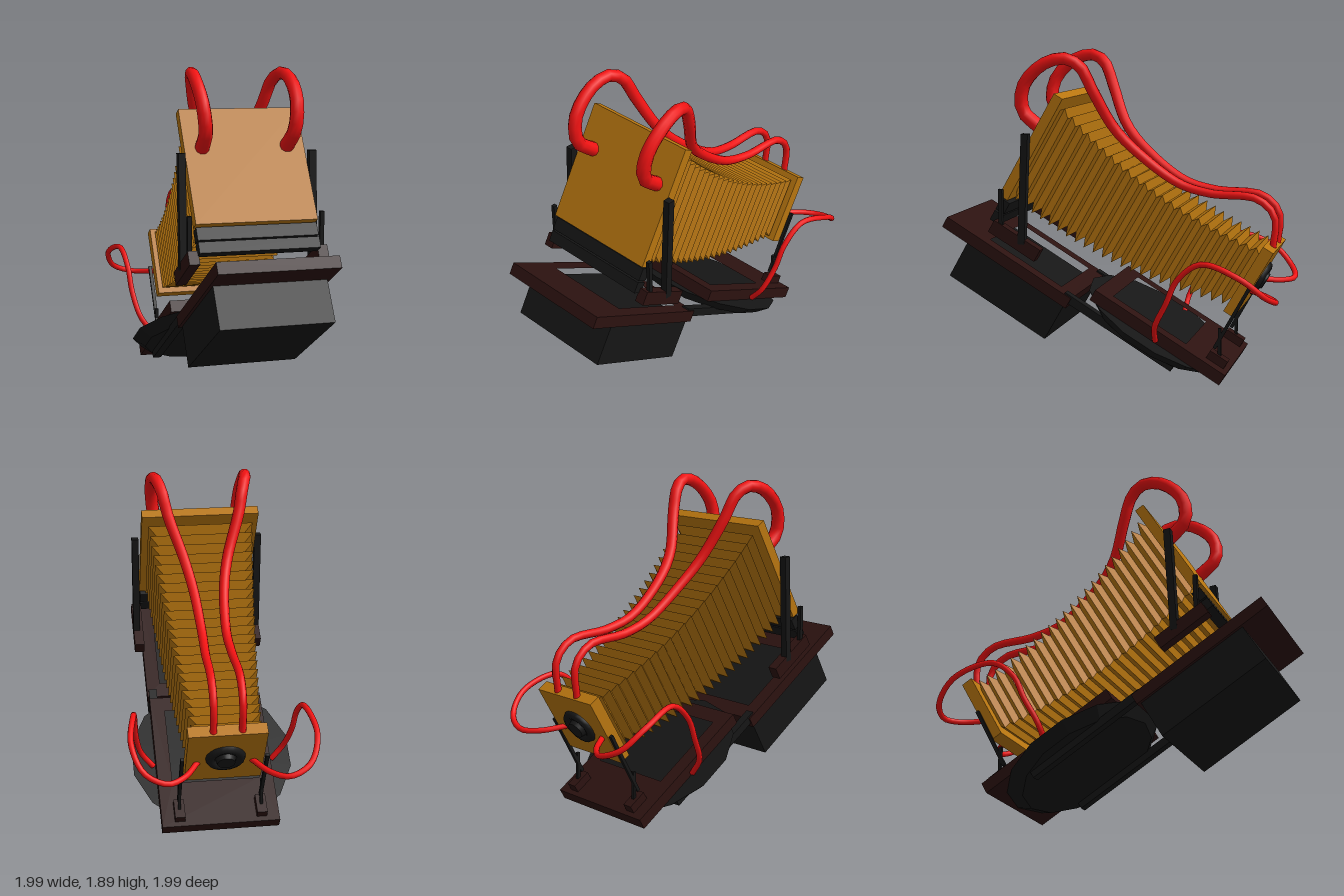
import * as THREE from 'three';

const V = (x, y, z) => new THREE.Vector3(x, y, z);
const mat = (color) => new THREE.MeshStandardMaterial({ color });
const wood = mat(0xb87610);
const darkWood = mat(0x2c1210);
const black = mat(0x161616);
const red = mat(0xf01212);

function add(parent, name, geometry, material) {
  const mesh = new THREE.Mesh(geometry, material);
  mesh.name = name;
  parent.add(mesh);
  return mesh;
}

// Box given by its limits on each axis
function block(parent, name, material, x0, x1, y0, y1, z0, z1) {
  const mesh = add(parent, name, new THREE.BoxGeometry(x1 - x0, y1 - y0, z1 - z0), material);
  mesh.position.set((x0 + x1) / 2, (y0 + y1) / 2, (z0 + z1) / 2);
  return mesh;
}

// Square bar between two points
function strut(parent, name, material, a, b, size) {
  const mesh = add(parent, name, new THREE.BoxGeometry(size, a.distanceTo(b), size), material);
  mesh.position.copy(a).add(b).multiplyScalar(0.5);
  mesh.quaternion.setFromUnitVectors(V(0, 1, 0), b.clone().sub(a).normalize());
}

// Flat bed plate with a rectangular opening
function bedPlate(parent, name, half, y0, y1, z0, z1, hz0, hz1) {
  const rect = (P, w, a, b) => new P([
    new THREE.Vector2(-w, -a), new THREE.Vector2(w, -a), new THREE.Vector2(w, -b), new THREE.Vector2(-w, -b)]);
  const shape = rect(THREE.Shape, half, z0, z1);
  shape.holes.push(rect(THREE.Path, 0.26, hz0, hz1));
  const geo = new THREE.ExtrudeGeometry(shape, { depth: y1 - y0, bevelEnabled: false });
  geo.rotateX(-Math.PI / 2).translate(0, y0, 0);
  add(parent, name, geo, darkWood);
}

// Hose along a smooth curve, its radius running from r0 to r1
function hose(parent, name, points, side, r0, r1) {
  const curve = new THREE.CatmullRomCurve3(points.map(([x, y, z]) => V(x * side, y, z)));
  const segments = 40, sides = 10;
  const geo = new THREE.TubeGeometry(curve, segments, 1, sides);
  const pos = geo.attributes.position;
  for (let i = 0; i <= segments; i++) {
    const centre = curve.getPointAt(i / segments);
    const r = THREE.MathUtils.lerp(r0, r1, i / segments);
    for (let j = 0; j <= sides; j++) {
      const k = i * (sides + 1) + j;
      const p = V().fromBufferAttribute(pos, k).sub(centre).multiplyScalar(r).add(centre);
      pos.setXYZ(k, p.x, p.y, p.z);
    }
  }
  add(parent, name, geo, red);
}

// Square pleated sleeve that widens towards the front and sags in the middle
function bellowsGeometry(z0, z1, folds) {
  const rings = folds * 2;
  const positions = [], index = [];
  for (let i = 0; i <= rings; i++) {
    const t = i / rings;
    const h = THREE.MathUtils.lerp(0.195, 0.32, t) - (i % 2 ? 0 : 0.045);
    const y = 0.91 - 0.085 * 4 * t * (1 - t);
    const z = THREE.MathUtils.lerp(z0, z1, t);
    for (const [a, b] of [[-1, -1], [1, -1], [1, 1], [-1, 1]]) positions.push(a * h, y + b * h, z);
  }
  for (let i = 0; i < rings; i++) {
    for (let j = 0; j < 4; j++) {
      const a = i * 4 + j, b = i * 4 + (j + 1) % 4;
      index.push(a, b, b + 4, a, b + 4, a + 4);
    }
  }
  const geo = new THREE.BufferGeometry();
  geo.setAttribute('position', new THREE.Float32BufferAttribute(positions, 3));
  geo.setIndex(index);
  const flat = geo.toNonIndexed();
  flat.computeVertexNormals();
  return flat;
}

export function createModel() {
  const model = new THREE.Group();
  model.name = 'bellowsCamera';

  // Body turned to the diagonal; the bed assembly is also pitched up towards the front
  const body = new THREE.Group();
  body.name = 'body';
  body.rotation.y = Math.PI / 4;
  model.add(body);
  const bed = new THREE.Group();
  bed.name = 'tiltedAssembly';
  bed.rotation.x = -Math.PI / 6;
  body.add(bed);

  // Bed plates, box and disc underneath
  bedPlate(bed, 'frontBedPlate', 0.345, 0.2, 0.27, 0.45, 1.35, 0.55, 1.07);
  bedPlate(bed, 'rearBedPlate', 0.345, 0.33, 0.4, -0.55, 0.35, -0.26, 0.25);
  block(bed, 'lowerBox', black, -0.325, 0.325, -0.045, 0.2, 0.47, 1.17);
  const discGeo = new THREE.CylinderGeometry(0.49, 0.42, 0.06, 14).toNonIndexed();
  discGeo.computeVertexNormals();
  add(bed, 'underDisc', discGeo, black).position.set(0, 0.3, -0.04);

  // Large front panel, small rear panel and the pleated sleeve between them
  block(bed, 'frontPanel', wood, -0.354, 0.354, 0.57, 1.268, 1.07, 1.13);
  block(bed, 'rearPanel', wood, -0.22, 0.22, 0.68, 1.13, -0.41, -0.34);
  add(bed, 'bellows', bellowsGeometry(-0.34, 1.07, 23), wood);
  block(bed, 'upperCrossbar', black, -0.35, 0.35, 0.485, 0.56, 1.05, 1.11);
  block(bed, 'lowerCrossbar', black, -0.35, 0.35, 0.41, 0.475, 1.05, 1.11);

  // Lens on the rear panel
  const lens = new THREE.Group();
  lens.name = 'lens';
  lens.position.set(0, 0.905, -0.41);
  bed.add(lens);
  add(lens, 'lensRing', new THREE.TorusGeometry(0.085, 0.028, 8, 20), black);
  const barrel = add(lens, 'lensBarrel', new THREE.CylinderGeometry(0.05, 0.07, 0.08, 20), black);
  barrel.rotation.x = -Math.PI / 2;

  for (const side of [-1, 1]) {
    // Rails joining the plates, and side mounts for the posts
    const rx = 0.31 * side;
    block(bed, 'rail', black, rx - 0.025, rx + 0.025, 0.23, 0.28, -0.27, 0.5);
    const mx = 0.375 * side;
    block(bed, 'sideMount', darkWood, mx - 0.03, mx + 0.03, 0.36, 0.44, 0.74, 1.07);
    const fx = 0.24 * side;
    block(bed, 'rearFoot', darkWood, fx - 0.03, fx + 0.03, 0.4, 0.45, -0.52, -0.4);

    // Upright posts beside the front panel, struts behind the rear panel
    strut(body, 'sidePost', black, V(0.385 * side, 0.78, 0.54), V(0.385 * side, 1.43, 0.51), 0.042);
    strut(body, 'thinPost', black, V(0.385 * side, 0.84, 0.67), V(0.385 * side, 1.1, 0.67), 0.024);
    strut(body, 'rearStrut', black, V(fx, 0.2, -0.59), V(fx, 0.57, -0.79), 0.02);
    strut(body, 'rearPost', black, V(fx, 0.12, -0.62), V(fx, 0.32, -0.62), 0.018);

    // Thick hose over the top, from the front panel to the rear panel
    hose(body, 'topHose', [
      [0.25, 1.45, 0.46], [0.26, 1.55, 0.57], [0.275, 1.7, 0.56], [0.28, 1.83, 0.43], [0.265, 1.86, 0.3],
      [0.24, 1.81, 0.22], [0.21, 1.68, 0.16], [0.13, 1.45, 0.05], [0.09, 1.3, -0.09], [0.07, 1.13, -0.33],
      [0.075, 1.08, -0.52], [0.08, 1.06, -0.8], [0.08, 0.96, -0.9], [0.08, 0.76, -0.89],
    ], side, 0.042, 0.02);

    // Thin looping hose from the rear panel down to the disc
    hose(body, 'sideHose', [
      [0.15, 0.54, -0.77], [0.24, 0.52, -0.9], [0.34, 0.52, -0.96], [0.46, 0.57, -0.92], [0.52, 0.68, -0.79],
      [0.49, 0.745, -0.56], [0.475, 0.64, -0.42], [0.465, 0.5, -0.355], [0.43, 0.35, -0.28], [0.36, 0.25, -0.265],
    ], side, 0.017, 0.017);
  }
  return model;
}
